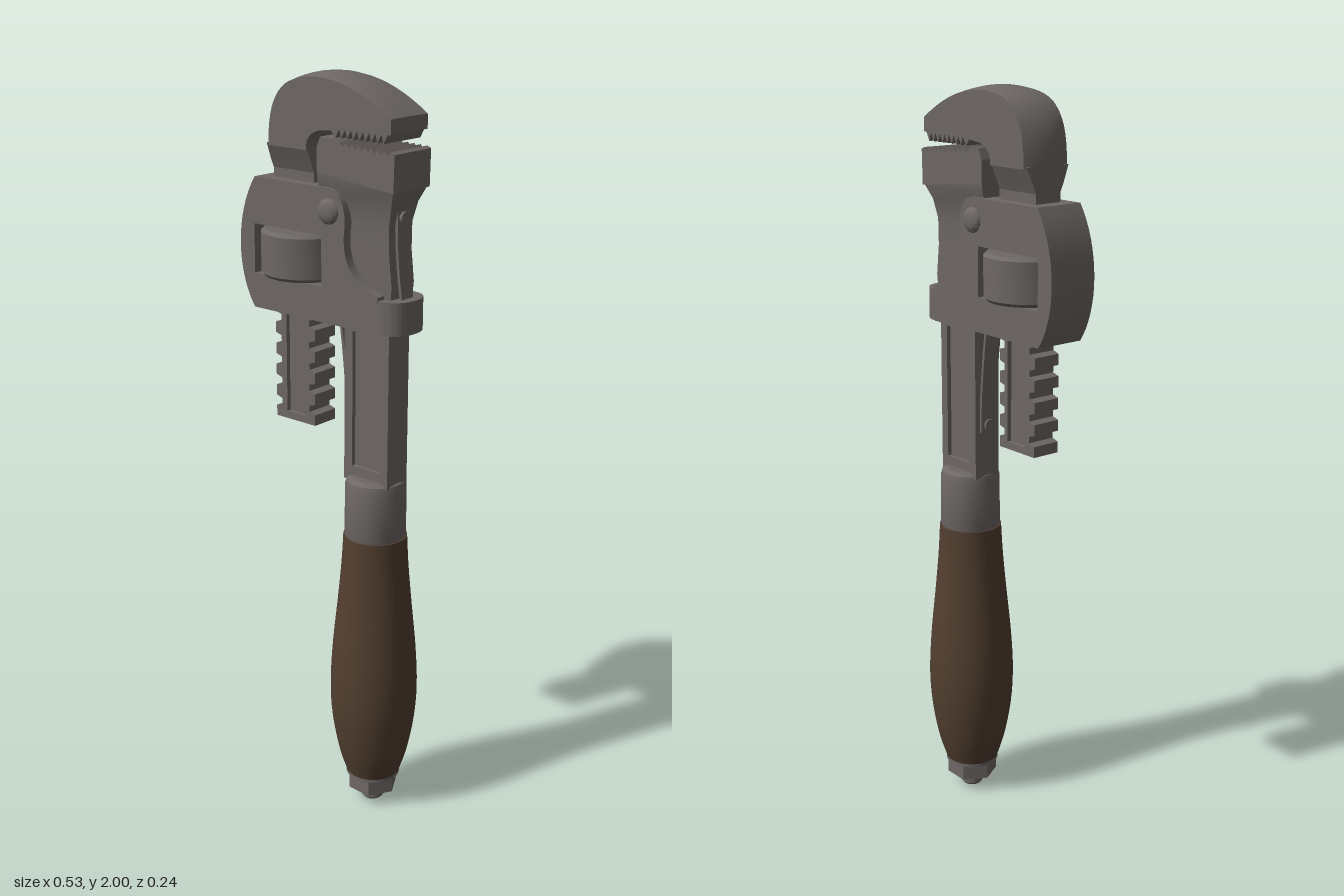
import * as THREE from 'three';
import { toCreasedNormals } from 'three/addons/utils/BufferGeometryUtils.js';

const metal = new THREE.MeshStandardMaterial({ color: 0x6e6866 });
metal.name = 'dark steel';
const wood = new THREE.MeshStandardMaterial({ color: 0x523f30 });
wood.name = 'brown wood';

const HANDLE_X = 0.142;

function mesh(name, geo, mat = metal, crease = 0.6) {
  const m = new THREE.Mesh(toCreasedNormals(geo, crease), mat);
  m.name = name;
  return m;
}

// Extrudes a front-view shape between two depths
function slab(shape, z0, z1, steps = 1) {
  const g = new THREE.ExtrudeGeometry(shape, { depth: z1 - z0, bevelEnabled: false, curveSegments: 16, steps });
  return g.translate(0, 0, z0);
}

function poly(points) {
  return new THREE.Shape(points.map(([x, y]) => new THREE.Vector2(x, y)));
}

function rectHole(x0, y0, x1, y1) {
  return new THREE.Path([[x0, y0], [x0, y1], [x1, y1], [x1, y0]].map(([x, y]) => new THREE.Vector2(x, y)));
}

function lathe(profile, segments = 40) {
  return new THREE.LatheGeometry(profile.map(([r, y]) => new THREE.Vector2(r, y)), segments);
}

function box(x0, x1, y0, y1, z) {
  return new THREE.BoxGeometry(x1 - x0, y1 - y0, z * 2).translate((x0 + x1) / 2, (y0 + y1) / 2, 0);
}

// Stacked rectangular sections [y, x0, x1, halfDepth], from bottom to top
function loft(rows) {
  const pos = [], idx = [];
  for (const [y, x0, x1, z] of rows) pos.push(x0, y, z, x1, y, z, x1, y, -z, x0, y, -z);
  for (let r = 0; r < rows.length - 1; r++) {
    for (let k = 0; k < 4; k++) {
      const a = r * 4 + k, b = r * 4 + (k + 1) % 4;
      idx.push(a, b, b + 4, a, b + 4, a + 4);
    }
  }
  const t = (rows.length - 1) * 4;
  idx.push(0, 2, 1, 0, 3, 2, t, t + 1, t + 2, t, t + 2, t + 3);
  const g = new THREE.BufferGeometry();
  g.setAttribute('position', new THREE.Float32BufferAttribute(pos, 3));
  g.setIndex(idx);
  return g;
}

// Thin bent leaf following points in the front view
function leaf(points, halfWidth) {
  const c = new THREE.CatmullRomCurve3(points.map(([x, y]) => new THREE.Vector3(x, y, 0))).getPoints(12);
  const t = 0.004;
  return slab(poly([...c.map(p => [p.x - t, p.y]), ...c.reverse().map(p => [p.x + t, p.y])]), -halfWidth, halfWidth);
}

// Housing outline; the lobe wraps the pin on the outer plates only
function housingShape(withLobe) {
  const s = new THREE.Shape();
  s.moveTo(-0.22, 1.38);
  if (withLobe) {
    s.lineTo(0.2, 1.38);
    s.lineTo(0.2, 1.475);
    s.bezierCurveTo(0.11, 1.5, 0.085, 1.55, 0.09, 1.62);
    s.bezierCurveTo(0.1, 1.67, 0.08, 1.72, 0.04, 1.725);
  } else {
    s.lineTo(0.04, 1.38);
    s.lineTo(0.04, 1.7);
    s.lineTo(0.02, 1.725);
  }
  s.lineTo(-0.213, 1.725);
  s.bezierCurveTo(-0.285, 1.62, -0.285, 1.47, -0.22, 1.38);
  s.holes.push(rectHole(-0.217, 1.472, 0.015, 1.603));
  return s;
}

function hookJaw() {
  const s = new THREE.Shape();
  s.moveTo(-0.177, 1.81);
  s.bezierCurveTo(-0.18, 1.93, -0.12, 2.0, 0.01, 2.0);
  s.bezierCurveTo(0.09, 1.995, 0.16, 1.965, 0.235, 1.91);
  s.lineTo(0.235, 1.873);
  const n = 9, x0 = 0.055, x1 = 0.225;
  for (let i = 0; i < n; i++) {
    const x = x1 - (x1 - x0) * i / n;
    s.lineTo(x, 1.872);
    s.lineTo(x - 0.012, 1.85);
  }
  s.lineTo(x0 - 0.008, 1.866);
  s.lineTo(0.01, 1.862);
  s.bezierCurveTo(-0.02, 1.855, -0.035, 1.84, -0.035, 1.81);
  const g = slab(s, -0.07, 0.07, 8);
  // Crown the outer surface slightly across its width
  const p = g.attributes.position;
  for (let i = 0; i < p.count; i++) {
    const t = (p.getZ(i) / 0.07) ** 2;
    p.setX(i, p.getX(i) + 0.2 * Math.max(0, -0.1 - p.getX(i)) * t);
    p.setY(i, p.getY(i) - 0.1 * Math.max(0, p.getY(i) - 1.9) * t);
  }
  return g;
}

function rack() {
  // Toothed bar with a sunken panel on both faces
  const n = 11, y0 = 1.08, y1 = 1.72, step = (y1 - y0) / n, left = [], right = [];
  for (let i = 0; i < n; i++) {
    const y = y0 + i * step;
    for (const [d, f] of [[0, 0], [0, 0.5], [0.02, 0.6], [0.02, 0.9]]) {
      left.push([-0.173 + d, y + f * step]);
      right.push([-0.035 - d, y + f * step]);
    }
  }
  const s = poly([...right, [-0.035, y1], [-0.173, y1], ...left.reverse()]);
  s.holes.push(rectHole(-0.135, 1.1, -0.067, 1.46));
  return slab(s, -0.04, 0.04);
}

function heelHead() {
  const pts = [[0, 1.76], [0.245, 1.735], [0.247, 1.828]];
  const n = 9;
  for (let i = 0; i < n; i++) {
    const x = 0.235 - i * 0.02;
    pts.push([x, 1.833 + i * 0.001], [x - 0.01, 1.822 + i * 0.001]);
  }
  pts.push([0.04, 1.846], [0.012, 1.848], [0, 1.82]);
  return slab(poly(pts), -0.07, 0.07);
}

export function createModel() {
  const model = new THREE.Group();
  model.name = 'pipeWrench';

  // Handle: nut, bolt end, wooden grip and ferrule
  const handle = new THREE.Group();
  handle.name = 'handle';
  handle.position.x = HANDLE_X;
  const grip = new THREE.SplineCurve([[0.074, 0.092], [0.095, 0.16], [0.113, 0.26], [0.119, 0.36], [0.113, 0.48],
    [0.1, 0.61], [0.09, 0.72], [0.085, 0.808]].map(([r, y]) => new THREE.Vector2(r, y))).getPoints(24);
  handle.add(
    mesh('boltEnd', lathe([[0, 0], [0.026, 0], [0.031, 0.006], [0.031, 0.05]], 20)),
    mesh('nut', new THREE.CylinderGeometry(0.07, 0.07, 0.045, 6).rotateY(Math.PI / 6).translate(0, 0.06, 0), metal, 0.3),
    mesh('washer', new THREE.CylinderGeometry(0.074, 0.074, 0.012, 32).translate(0, 0.088, 0)),
    mesh('grip', lathe([[0, 0.092], ...grip.map(p => [p.x, p.y]), [0, 0.808]], 48), wood),
    mesh('ferrule', lathe([[0.08, 0.805], [0.082, 0.812], [0.081, 0.95], [0.077, 0.965], [0.066, 0.974], [0, 0.974]])));
  model.add(handle);

  // Shank with sunken panels
  const shank = poly([[0.067, 0.96], [0.213, 0.96], [0.213, 1.5], [0.067, 1.5]]);
  shank.holes.push(rectHole(0.094, 1.0, 0.188, 1.365));
  model.add(
    mesh('shank', slab(shank, -0.04, 0.04)),
    mesh('shankPanel', box(0.08, 0.2, 0.98, 1.4, 0.028)));

  // Fixed heel jaw
  model.add(
    mesh('heelBody', loft([[1.4, 0.06, 0.215, 0.04], [1.5, 0.05, 0.222, 0.044], [1.58, 0.03, 0.213, 0.044],
      [1.65, 0.005, 0.213, 0.045], [1.7, 0, 0.225, 0.052], [1.735, 0, 0.24, 0.066], [1.765, 0, 0.245, 0.069]]), metal, 0.5),
    mesh('heelJaw', heelHead(), metal, 0.3));

  // Sliding hook jaw and its rack
  model.add(
    mesh('hookJaw', hookJaw()),
    mesh('hookNeck', loft([[1.6, -0.173, -0.035, 0.04], [1.75, -0.173, -0.035, 0.04], [1.775, -0.174, -0.035, 0.05], [1.815, -0.17, -0.035, 0.068]]), metal, 0.3),
    mesh('rack', rack(), metal, 0.3),
    mesh('rackPanel', box(-0.14, -0.06, 1.09, 1.5, 0.028)));

  // Housing: solid core, two side plates and the rounded collar round the shank
  model.add(mesh('housingCore', slab(housingShape(false), -0.046, 0.046)));
  for (const [name, z] of [['housingPlateFront', 0.045], ['housingPlateBack', -0.07]]) {
    model.add(mesh(name, slab(housingShape(true), z, z + 0.025)));
  }
  const plan = new THREE.Shape();
  plan.moveTo(0.03, -0.0695);
  plan.lineTo(0.2, -0.0695);
  plan.bezierCurveTo(0.245, -0.068, 0.264, -0.04, 0.264, 0);
  plan.bezierCurveTo(0.264, 0.04, 0.245, 0.068, 0.2, 0.0695);
  plan.lineTo(0.03, 0.0695);
  const collar = slab(plan, 0, 0.085).rotateX(-Math.PI / 2).translate(0, 1.381, 0);
  model.add(mesh('collar', collar));

  // Adjusting nut in the window
  const knurl = lathe([[0, 1.476], [0.106, 1.476], [0.115, 1.485], [0.115, 1.59], [0.106, 1.599], [0, 1.599]], 48);
  model.add(mesh('adjustingNut', knurl.translate(-0.102, 0, 0)));

  // Domed pivot pin on both sides
  for (const side of [1, -1]) {
    const dome = new THREE.SphereGeometry(0.033, 24, 8, 0, Math.PI * 2, 0, Math.PI / 2)
      .scale(1, 0.45, 1).rotateX(side * Math.PI / 2).translate(0.038, 1.667, side * 0.069);
    model.add(mesh(side > 0 ? 'pinFront' : 'pinBack', dome));
  }

  // Leaf springs and their screws
  model.add(
    mesh('innerSpring', leaf([[0.064, 1.09], [0.062, 1.18], [0.052, 1.29], [0.038, 1.4]], 0.025)),
    mesh('outerSpring', leaf([[0.217, 1.69], [0.218, 1.62], [0.224, 1.54], [0.235, 1.46]], 0.022)));
  for (const [name, x, y] of [['innerScrew', 0.061, 1.11], ['outerScrew', 0.221, 1.665]]) {
    model.add(mesh(name, new THREE.CylinderGeometry(0.016, 0.016, 0.016, 16).rotateZ(Math.PI / 2).translate(x, y, 0)));
  }
  return model;
}
